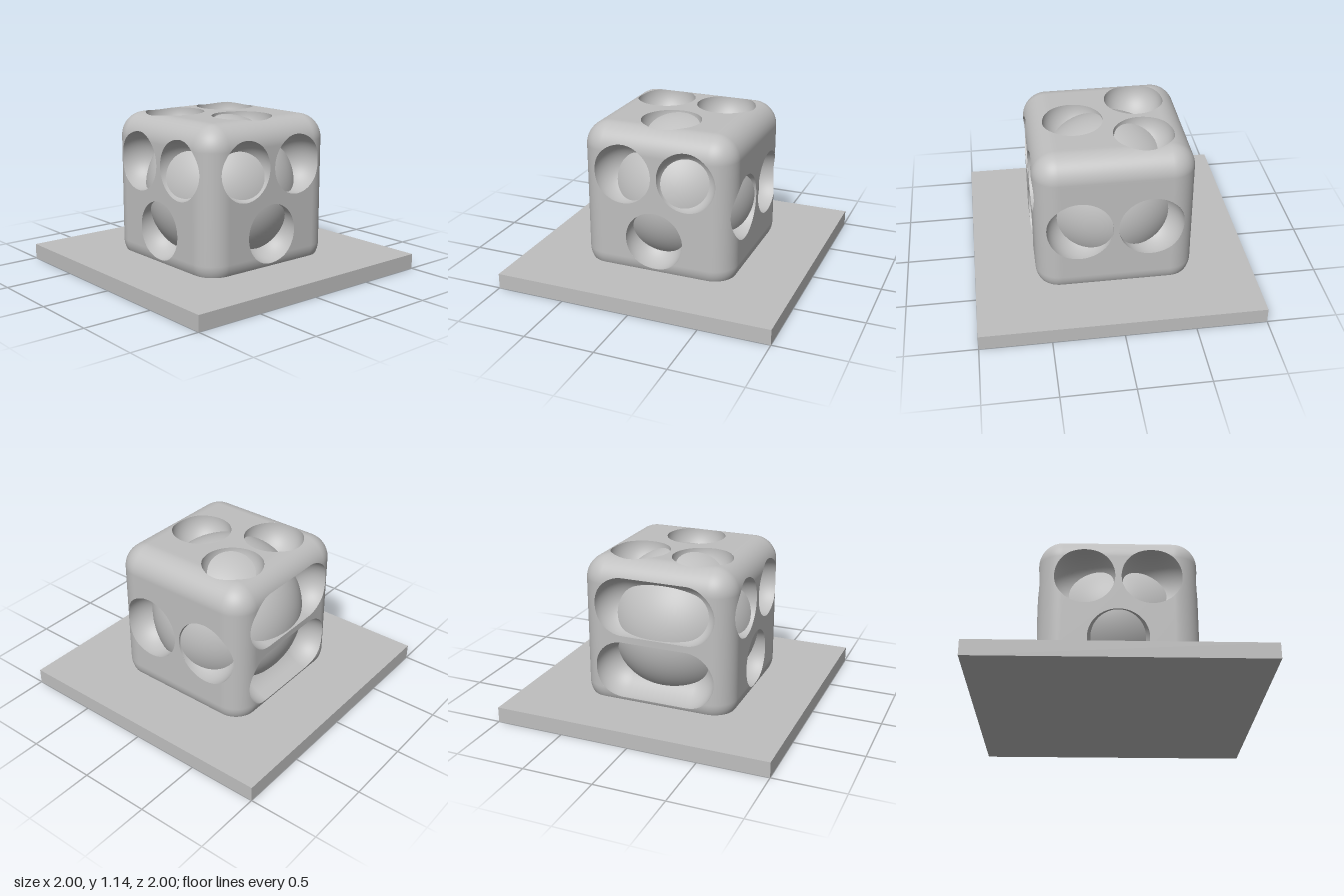
import * as THREE from 'three';

const H = 0.563;       // half side of the cube
const R = 0.175;       // edge rounding
const CY = 0.58;       // height of the cube's centre
const V = (x, y, z) => new THREE.Vector3(x, y, z);

// dents: [u, v, half length along u, radius] on a face
const trio = [[-0.235, 0.235, 0, 0.213], [0.235, 0.235, 0, 0.213], [0, -0.235, 0, 0.213]];
const pair = [[-0.252, 0, 0, 0.233], [0.252, 0, 0, 0.233]];
const slots = [[0, 0.235, 0.235, 0.211], [0, -0.235, 0.235, 0.211]];

// faces: right vector u, up vector v (outward normal is u x v), dents
const faces = [
  { name: 'front', u: V(1, 0, 0), v: V(0, 1, 0), dents: trio },
  { name: 'top', u: V(1, 0, 0), v: V(0, 0, -1), dents: trio },
  { name: 'twoHole', u: V(0, 0, -1), v: V(0, 1, 0), dents: pair },
  { name: 'threeHole', u: V(0, 0, 1), v: V(0, 1, 0), dents: trio },
  { name: 'back', u: V(-1, 0, 0), v: V(0, 1, 0), dents: slots },
];

// point and normal of the rounded cube over face coordinates (s, t)
function surface(s, t) {
  const c = H - R;
  const q = V(THREE.MathUtils.clamp(s, -c, c), THREE.MathUtils.clamp(t, -c, c), c);
  const normal = V(s, t, H).sub(q).normalize();
  return { point: q.addScaledVector(normal, R), normal };
}

// centre line point of a dent nearest to s
const core = ([u, v, half], s) => V(THREE.MathUtils.clamp(s, u - half, u + half), v, H);

// where the dent's round wall meets the cube's surface, going out from c
function rim(c, ds, dt, radius) {
  let lo = 0, hi = 0.33;
  for (let i = 0; i < 24; i++) {
    const k = (lo + hi) / 2;
    if (surface(c.x + ds * k, c.y + dt * k).point.distanceTo(c) < radius) lo = k; else hi = k;
  }
  return surface(c.x + ds * lo, c.y + dt * lo);
}

function makeGeometry(pos, nor, index) {
  const g = new THREE.BufferGeometry();
  g.setAttribute('position', new THREE.Float32BufferAttribute(pos, 3));
  g.setAttribute('normal', new THREE.Float32BufferAttribute(nor, 3));
  g.setIndex(index);
  return g;
}

// one side of the cube: a grid with the dents left out and its edges drawn to the rims
function panelGeometry(dents) {
  const N = 84, pos = [], nor = [], index = [], hole = [];
  for (let j = 0; j <= N; j++) {
    for (let i = 0; i <= N; i++) {
      const s = H * (2 * i / N - 1), t = H * (2 * j / N - 1);
      let p = surface(s, t), inside = -1;
      dents.forEach((d, n) => {
        const c = core(d, s);
        if (inside >= 0 || p.point.distanceTo(c) >= d[3]) return;
        inside = n;
        const len = Math.hypot(s - c.x, t - c.y) || 1;
        p = rim(c, (s - c.x) / len, (t - c.y) / len, d[3]);
      });
      hole.push(inside);
      pos.push(...p.point.toArray());
      nor.push(...p.normal.toArray());
    }
  }
  for (let j = 0; j < N; j++) {
    for (let i = 0; i < N; i++) {
      const a = j * (N + 1) + i, b = a + 1, d = a + N + 1, c = d + 1;
      if ([a, b, c, d].every(k => hole[k] >= 0)) continue;
      index.push(a, b, c, a, c, d);
    }
  }
  return makeGeometry(pos, nor, index);
}

// hollow of a dent: rows from the rim down to its deepest point
function dentGeometry(dent) {
  const SEG = 96, ROWS = 20, pos = [], nor = [], index = [];
  const [u, v, half, radius] = dent;
  const ring = [];
  for (let i = 0; i <= SEG; i++) {
    const phi = -Math.PI / 2 + i / SEG * Math.PI * 2;
    if (i === SEG / 2) ring.push([phi, half]);
    ring.push([phi, i < SEG / 2 ? half : -half]);
  }
  ring.push([-Math.PI / 2, half]);
  for (const [phi, offset] of ring) {
    const c = V(u + offset, v, H);
    const ds = Math.cos(phi), dt = Math.sin(phi);
    const out = rim(c, ds, dt, radius).point.sub(c);
    const start = Math.atan2(-out.z, out.x * ds + out.y * dt);
    for (let r = 0; r <= ROWS; r++) {
      const a = start + (Math.PI / 2 - start) * r / ROWS;
      const dir = V(ds * Math.cos(a), dt * Math.cos(a), -Math.sin(a));
      nor.push(-dir.x, -dir.y, -dir.z);
      pos.push(...dir.multiplyScalar(radius).add(c).toArray());
    }
  }
  for (let i = 0; i < ring.length - 1; i++) {
    for (let r = 0; r < ROWS; r++) {
      const a = i * (ROWS + 1) + r, b = a + ROWS + 1;
      index.push(a, b, b + 1, a, b + 1, a + 1);
    }
  }
  return makeGeometry(pos, nor, index);
}

export function createModel() {
  const model = new THREE.Group();
  model.name = 'dentedCubeOnPlate';
  const grey = new THREE.MeshStandardMaterial({ color: 0xbfbfbf });
  grey.name = 'grey';
  const add = (parent, geometry, name) => {
    const mesh = new THREE.Mesh(geometry, grey);
    mesh.name = name;
    parent.add(mesh);
    return mesh;
  };

  // base plate
  add(model, new THREE.BoxGeometry(2, 0.11, 2), 'basePlate').position.y = 0.055;

  // rounded cube, its underside sunk in the plate
  const cube = new THREE.Group();
  cube.name = 'cube';
  cube.position.y = CY;
  model.add(cube);
  for (const { name, u, v, dents } of faces) {
    const side = new THREE.Group();
    side.name = name + 'Side';
    side.quaternion.setFromRotationMatrix(
      new THREE.Matrix4().makeBasis(u, v, u.clone().cross(v)));
    add(side, panelGeometry(dents), name + 'Panel');
    dents.forEach((d, i) => add(side, dentGeometry(d), name + 'Dent' + (i + 1)));
    cube.add(side);
  }

  // ball showing through the dents
  add(cube, new THREE.SphereGeometry(0.55, 96, 64), 'innerBall');
  return model;
}
